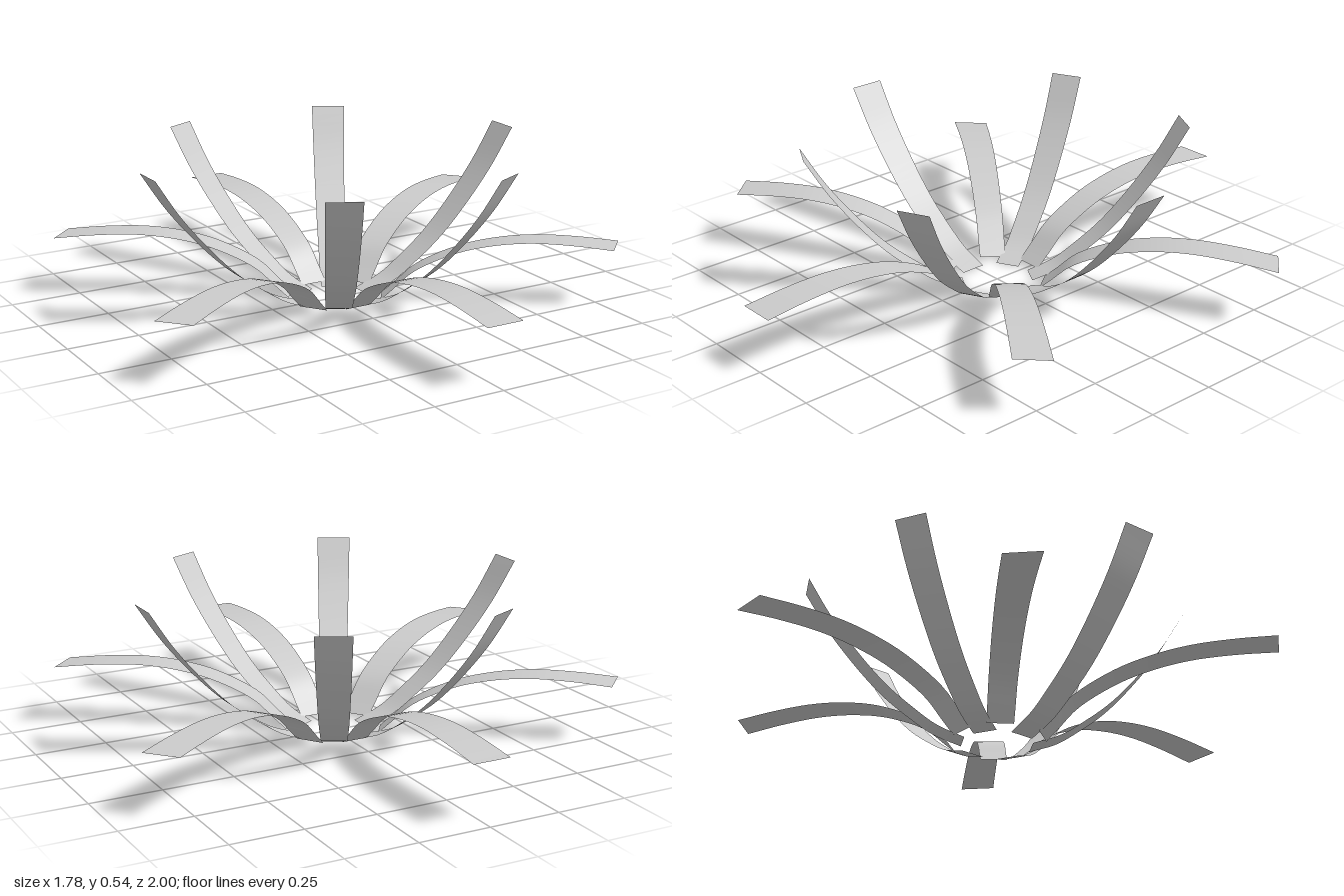
import * as THREE from 'three';

const SEGMENTS = 28;

// Side profiles as [fraction of length, height]
const ARCHED = [[0, 0.01], [0.06, 0.055], [0.14, 0.115], [0.32, 0.185], [0.48, 0.217], [0.64, 0.23], [0.82, 0.226], [1, 0.212]];
const UPRIGHT = [[0, 0], [0.18, 0.038], [0.32, 0.09], [0.49, 0.165], [0.66, 0.265], [0.85, 0.4], [1, 0.535]];

// Half of the leaves in plan: base corners and tip corners as [x, z]
const LEAVES = [
  { name: 'archedLeafFront', profile: ARCHED, base: [[-0.048, 0.15], [0.048, 0.15]], tip: [[-0.066, 1], [0.066, 1]] },
  { name: 'archedLeafBackLeft', profile: ARCHED, base: [[0.166, -0.045], [0.108, -0.128]], tip: [[0.892, -0.441], [0.807, -0.537]] },
  { name: 'archedLeafBackRight', profile: ARCHED, base: [[-0.103, -0.13], [-0.156, -0.055]], tip: [[-0.744, -0.595], [-0.834, -0.508]] },
  { name: 'uprightLeafLeft', profile: UPRIGHT, base: [[0.115, 0.033], [0.115, -0.058]], tip: [[0.708, 0.047], [0.708, -0.076]] },
  { name: 'uprightLeafBackLeft', profile: UPRIGHT, base: [[0.09, -0.085], [0.018, -0.127]], tip: [[0.367, -0.558], [0.261, -0.616]] },
  { name: 'uprightLeafBackRight', profile: UPRIGHT, base: [[-0.024, -0.121], [-0.098, -0.082]], tip: [[-0.245, -0.626], [-0.346, -0.578]] },
];

// Thin ribbon: straight in plan, curved upward along its profile
function leafGeometry({ profile, base, tip }) {
  const curve = new THREE.CatmullRomCurve3(profile.map(([t, y]) => new THREE.Vector3(t, y, 0)));
  const positions = [];
  const indices = [];
  curve.getSpacedPoints(SEGMENTS).forEach(({ x: t, y }, i) => {
    for (const side of [0, 1]) {
      positions.push(
        THREE.MathUtils.lerp(base[side][0], tip[side][0], t),
        y,
        THREE.MathUtils.lerp(base[side][1], tip[side][1], t),
      );
    }
    if (i < SEGMENTS) {
      const a = i * 2;
      indices.push(a, a + 2, a + 1, a + 1, a + 2, a + 3);
    }
  });
  const geometry = new THREE.BufferGeometry();
  geometry.setAttribute('position', new THREE.Float32BufferAttribute(positions, 3));
  geometry.setIndex(indices);
  geometry.computeVertexNormals();
  return geometry;
}

export function createModel() {
  const model = new THREE.Group();
  model.name = 'leafRosette';
  const material = new THREE.MeshStandardMaterial({ color: 0xcccccc, side: THREE.DoubleSide });

  // Each leaf has a twin turned half way round the centre
  for (const leaf of LEAVES) {
    const geometry = leafGeometry(leaf);
    for (const turn of [0, Math.PI]) {
      const mesh = new THREE.Mesh(geometry, material);
      mesh.name = turn ? `${leaf.name}Opposite` : leaf.name;
      mesh.rotation.y = turn;
      model.add(mesh);
    }
  }
  return model;
}
